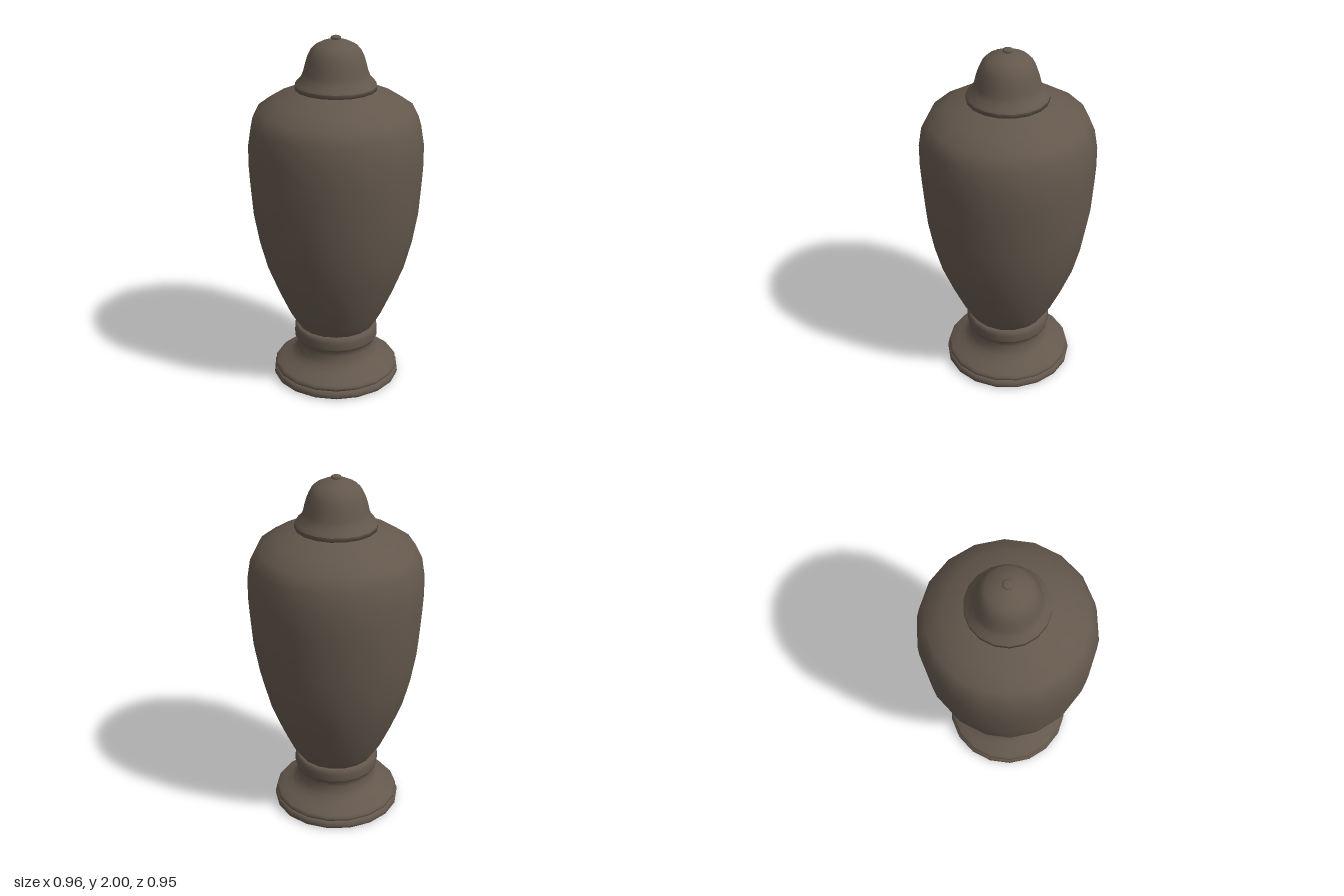
import * as THREE from 'three';

const SIDES = 18;

export function createModel() {
  const group = new THREE.Group();
  group.name = 'lidded urn';
  const bronze = new THREE.MeshStandardMaterial({ color: 0x64584d });
  bronze.name = 'dark bronze';

  // Turns a [radius, height] profile, bottom to top; corners point along x
  const turn = (name, profile) => {
    const points = profile.map(([r, y]) => new THREE.Vector2(r, y));
    const mesh = new THREE.Mesh(new THREE.LatheGeometry(points, SIDES, Math.PI / 2), bronze);
    mesh.name = name;
    group.add(mesh);
  };

  // Foot: underside, rounded plinth and flared stem
  turn('underside', [[0, 0], [0.35, 0]]);
  turn('plinth', [[0.35, 0], [0.361, 0.008], [0.363, 0.02], [0.361, 0.037], [0.35, 0.046], [0.34, 0.048]]);
  turn('stem', [
    [0.345, 0.047], [0.354, 0.055], [0.354, 0.068], [0.343, 0.08], [0.305, 0.1], [0.265, 0.122],
    [0.24, 0.145], [0.227, 0.17], [0.22, 0.2], [0.222, 0.22], [0.23, 0.236],
  ]);

  // Rounded collar under the body
  turn('collar', [
    [0.22, 0.235], [0.235, 0.237], [0.24, 0.25], [0.24, 0.29], [0.236, 0.31], [0.225, 0.32], [0.2, 0.32],
  ]);

  // Body swelling up to the shoulder
  turn('body', [
    [0.217, 0.32], [0.262, 0.39], [0.325, 0.53], [0.388, 0.69], [0.43, 0.85], [0.46, 1.02],
    [0.474, 1.2], [0.48, 1.3], [0.48, 1.42], [0.462, 1.53], [0.425, 1.605], [0.33, 1.665],
    [0.222, 1.712], [0.18, 1.715],
  ]);

  // Bell-shaped lid with a short rim
  turn('lid rim', [[0.2, 1.713], [0.222, 1.713], [0.222, 1.735]]);
  turn('lid', [
    [0.222, 1.735], [0.212, 1.75], [0.188, 1.775], [0.176, 1.805], [0.165, 1.85], [0.152, 1.89],
    [0.135, 1.923], [0.112, 1.947], [0.07, 1.968], [0.028, 1.981], [0, 1.984],
  ]);

  // Small button on top
  turn('finial', [[0.022, 1.978], [0.028, 1.987], [0.026, 1.994], [0.016, 1.999], [0, 2]]);

  return group;
}
